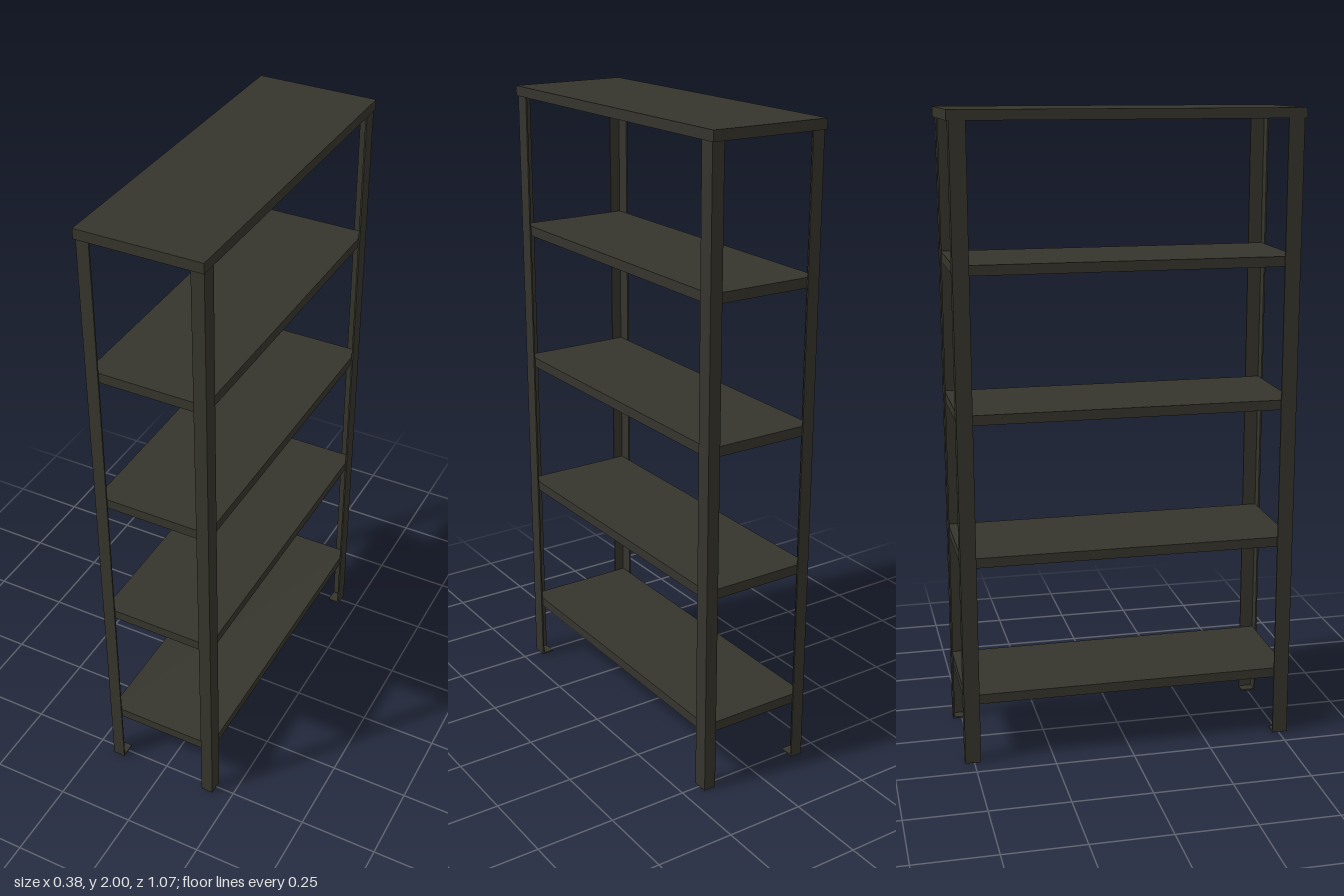
import * as THREE from 'three';

const steel = new THREE.MeshStandardMaterial({ color: 0x35342c });
steel.name = 'dark painted steel';

function box(name, w, h, d, x, y, z) {
  const mesh = new THREE.Mesh(new THREE.BoxGeometry(w, h, d), steel);
  mesh.name = name;
  mesh.position.set(x, y, z);
  return mesh;
}

// Folded sheet tray: top panel with a rim turned down, open below
function tray(name, halfX, halfZ, top, height, t) {
  const g = new THREE.Group();
  g.name = name;
  g.add(box('panel', halfX * 2, t, halfZ * 2, 0, top - t / 2, 0));
  const rimH = height - t;
  const y = top - t - rimH / 2;
  for (const s of [-1, 1]) {
    g.add(box('sideRim', t, rimH, halfZ * 2, s * (halfX - t / 2), y, 0));
    g.add(box('endRim', (halfX - t) * 2, rimH, t, 0, y, s * (halfZ - t / 2)));
  }
  return g;
}

// L-section upright for the +x, +z corner, turned to its corner by sx and sz
function post(sx, sz) {
  const X = 0.187, Z = 0.528, W = 0.039, D = 0.049, T = 0.005, top = 1.994;
  const g = new THREE.Group();
  g.name = (sz > 0 ? 'front' : 'back') + (sx > 0 ? 'Left' : 'Right') + 'Post';
  g.add(box('sideFlange', T, top, D, sx * (X - T / 2), top / 2, sz * (Z - D / 2)));
  g.add(box('endFlange', W - T, top, T, sx * (X - T - (W - T) / 2), top / 2, sz * (Z - T / 2)));
  // Flat foot filling the inside of the angle
  g.add(box('foot', W - T, T, D - T, sx * (X - T - (W - T) / 2), T / 2, sz * (Z - T - (D - T) / 2)));
  return g;
}

export function createModel() {
  const model = new THREE.Group();
  model.name = 'shelvingUnit';

  for (const sx of [-1, 1]) for (const sz of [-1, 1]) model.add(post(sx, sz));

  // Four shelves held inside the posts
  for (let i = 0; i < 4; i++) {
    model.add(tray('shelf' + (i + 1), 0.182, 0.523, 0.225 + i * 0.445, 0.031, 0.004));
  }

  // Top shelf caps the posts
  model.add(tray('topShelf', 0.19, 0.535, 2, 0.031, 0.003));
  return model;
}
